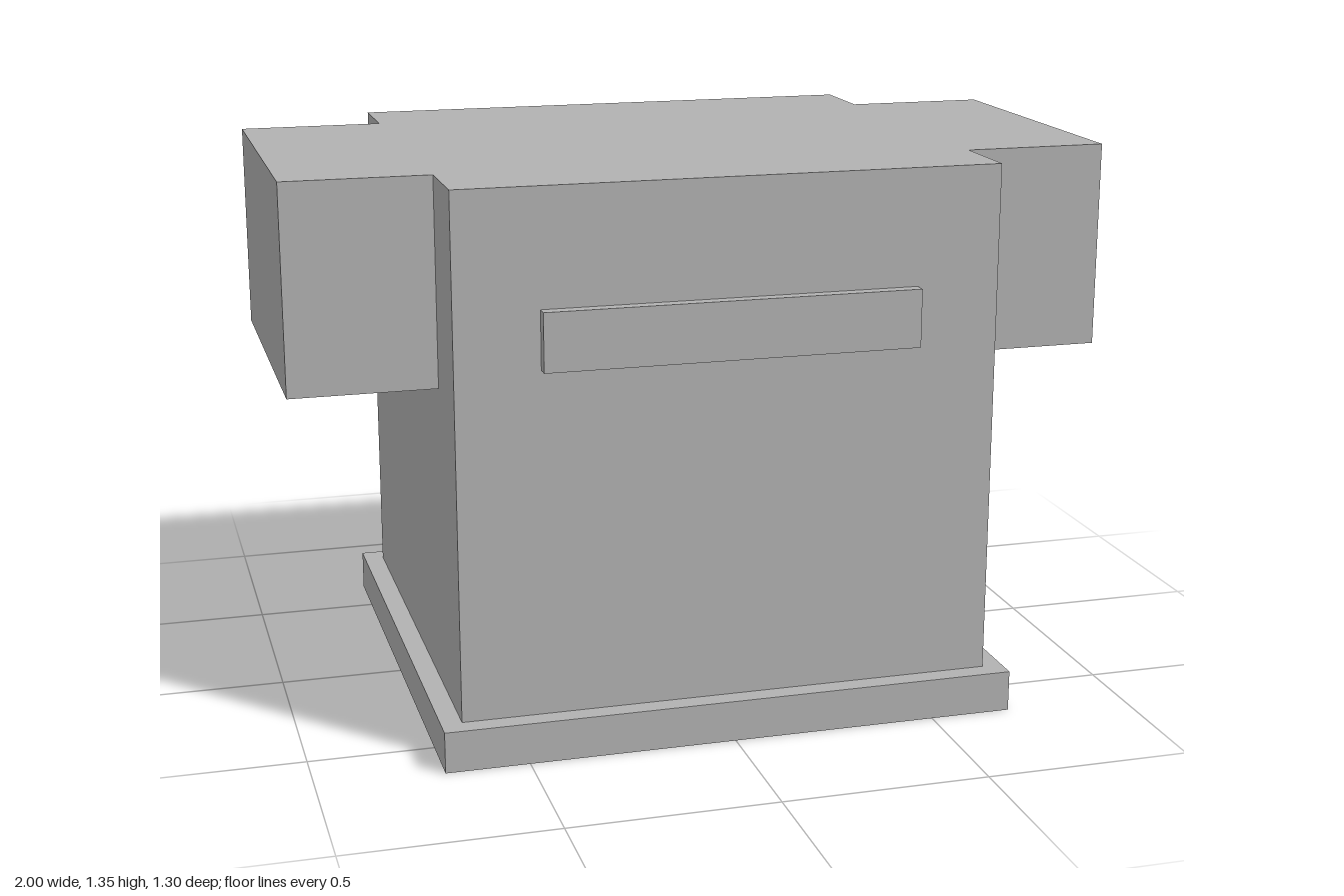
import * as THREE from 'three';

const grey = new THREE.MeshStandardMaterial({ name: 'plain grey', color: 0xb2b2b2 });

// Adds a named box whose position gives the centre of its underside.
function addBox(parent, name, [width, height, depth], [x, bottom, z]) {
  const mesh = new THREE.Mesh(new THREE.BoxGeometry(width, height, depth), grey);
  mesh.name = name;
  mesh.position.set(x, bottom + height / 2, z);
  parent.add(mesh);
}

export function createModel() {
  const model = new THREE.Group();
  model.name = 'torso';

  // Hem and main body
  addBox(model, 'hem', [1.4, 0.1, 1.3], [0, 0, 0]);
  addBox(model, 'body', [1.3, 1.25, 1.2], [0, 0.1, 0]);

  // Short sleeves, flush with the top of the body
  for (const [name, side] of [['leftSleeve', 1], ['rightSleeve', -1]]) {
    addBox(model, name, [0.35, 0.5, 0.8], [side * 0.825, 0.85, 0]);
  }

  // Raised bar across the chest
  addBox(model, 'chestBar', [0.9, 0.14, 0.03], [0, 0.93, 0.615]);

  return model;
}
